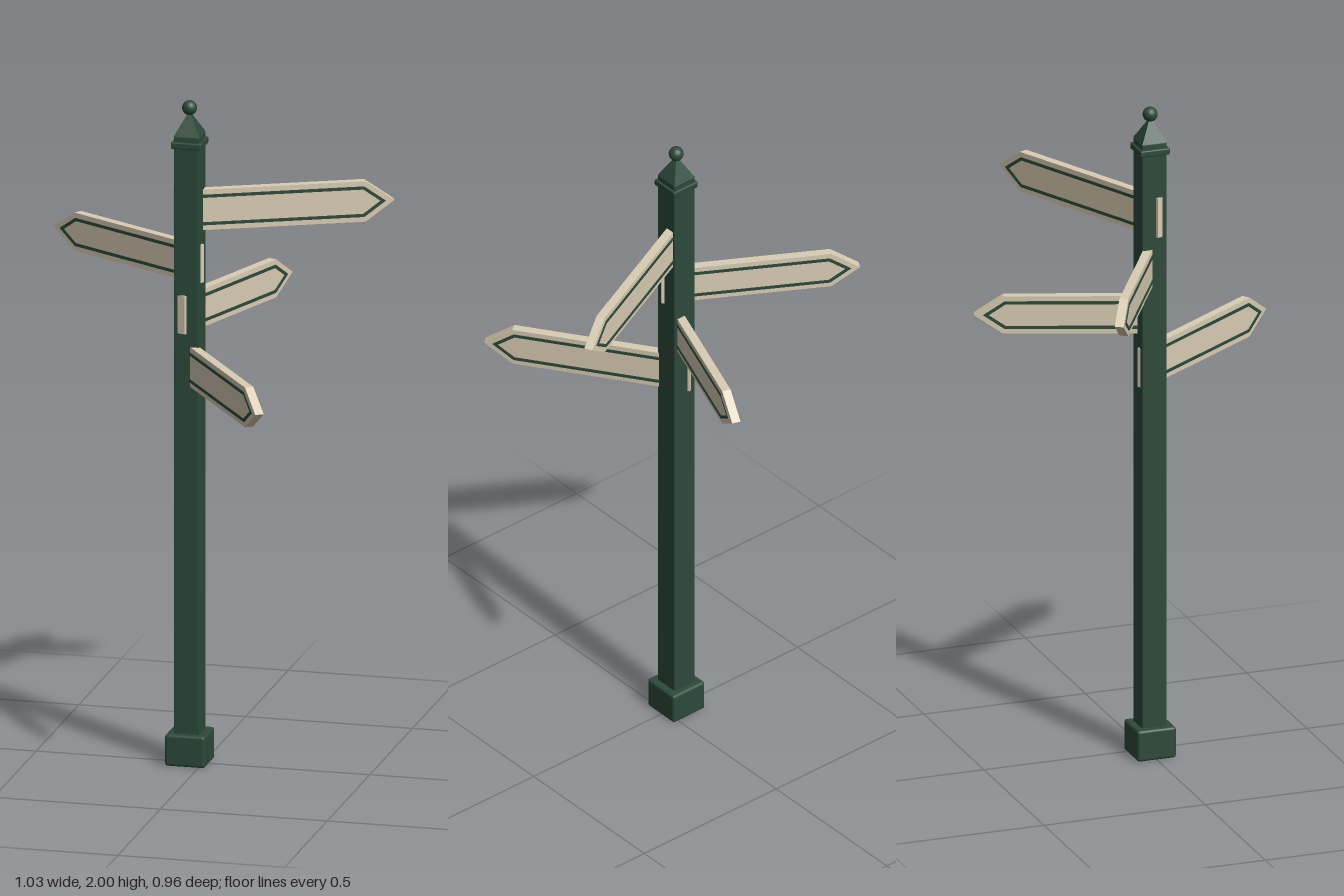
import * as THREE from 'three';
import { RoundedBoxGeometry } from 'three/addons/geometries/RoundedBoxGeometry.js';

const green = new THREE.MeshStandardMaterial({ color: 0x2d4a3a });
green.name = 'dark green paint';
const cream = new THREE.MeshStandardMaterial({ color: 0xd9cdb4 });
cream.name = 'cream paint';

const POST_X = -0.04;
const TIP = 0.085;      // length of the pointed end
const THICK = 0.026;    // board thickness

function part(parent, name, geometry, material, y = 0) {
  const mesh = new THREE.Mesh(geometry, material);
  mesh.name = name;
  mesh.position.y = y;
  parent.add(mesh);
  return mesh;
}

// Arrow outline moved inwards by d, open at its inner end
function arrowPoints(start, length, half, d) {
  const h = half - d;
  const tip = length - d * Math.hypot(half, TIP) / half;
  const shoulder = tip - TIP * h / half;
  return [[start, -h], [shoulder, -h], [tip, 0], [shoulder, h], [start, h]]
    .map(([x, y]) => new THREE.Vector2(x, y));
}

function plate(points, depth) {
  const geometry = new THREE.ExtrudeGeometry(new THREE.Shape(points), { depth, bevelEnabled: false });
  return geometry.translate(0, 0, -depth / 2);
}

// Pointed board with a thin painted border on both faces
function fingerBoard(name, y, height, length, degrees) {
  const board = new THREE.Group();
  board.name = name;
  const half = height / 2;
  part(board, 'board', plate(arrowPoints(-0.045, length, half, 0), THICK), cream);
  const border = [
    ...arrowPoints(0.01, length, half, 0.015),
    ...arrowPoints(0.01, length, half, 0.024).reverse(),
  ];
  for (const side of [-1, 1]) {
    const line = part(board, 'borderLine', plate(border, 0.003), green);
    line.position.z = side * (THICK / 2 + 0.001);
  }
  board.position.y = y;
  board.rotation.y = THREE.MathUtils.degToRad(degrees);
  return board;
}

export function createModel() {
  const model = new THREE.Group();
  model.name = 'signpost';
  const post = new THREE.Group();
  post.name = 'post';
  post.position.x = POST_X;
  model.add(post);

  // Foot, shaft and collar
  part(post, 'foot', new RoundedBoxGeometry(0.12, 0.095, 0.12, 2, 0.008), green, 0.0475);
  part(post, 'shaft', new RoundedBoxGeometry(0.077, 1.86, 0.077, 1, 0.004), green, 0.97);
  part(post, 'collar', new RoundedBoxGeometry(0.091, 0.02, 0.091, 2, 0.004), green, 1.872);

  // Four-sided cap and ball finial
  const cap = new THREE.ConeGeometry(0.038 * Math.SQRT2, 0.07, 4, 1).toNonIndexed();
  cap.rotateY(Math.PI / 4);
  cap.computeVertexNormals();
  part(post, 'cap', cap, green, 1.934);
  part(post, 'finial', new THREE.SphereGeometry(0.022, 24, 16), green, 1.978);

  // Boards: height on post, board height, reach, heading
  [
    ['topBoard', 1.67, 0.122, 0.603, 25],
    ['secondBoard', 1.514, 0.115, 0.54, 150],
    ['thirdBoard', 1.362, 0.115, 0.512, 70],
    ['lowestBoard', 1.205, 0.12, 0.575, -55],
  ].forEach((spec) => post.add(fingerBoard(...spec)));

  return model;
}
